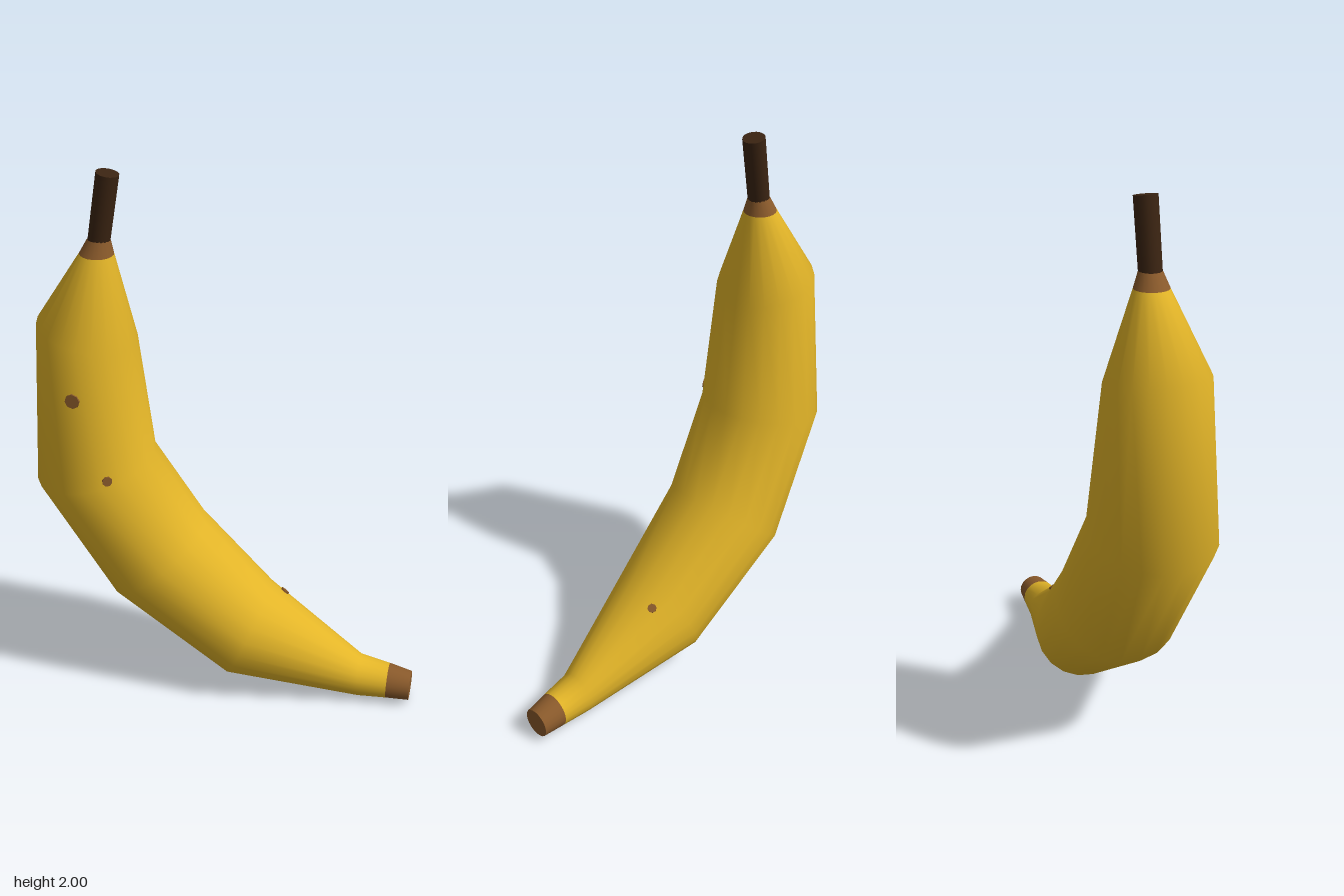
import * as THREE from 'three';

const SIDES = 20;
const V = (x, y, z = 0) => new THREE.Vector3(x, y, z);

// Cross-sections from stem to tip: centre x, y, z, radius, direction of the inner curve x, y
const SECTIONS = [
  [-0.437, 1.768, 0, 0.038, 1, 0],
  [-0.447, 1.715, 0, 0.058, 1, -0.03],
  [-0.495, 1.435, 0, 0.175, 0.34, -0.07],
  [-0.49, 0.905, -0.002, 0.222, 0.43, 0.11],
  [-0.267, 0.522, -0.012, 0.224, 0.345, 0.285],
  [0.078, 0.233, 0.025, 0.194, 0.145, 0.345],
  [0.507, 0.08, 0.063, 0.079, -0.005, 0.15],
  [0.615, 0.073, 0.072, 0.066, 0, 1],
  [0.70, 0.065, 0.08, 0.055, 0, 1],
];

// Frame of each section: c centre, u inner side, v front side, t along the fruit
const rings = SECTIONS.map(([x, y, z, r, ux, uy], i) => {
  const a = SECTIONS[Math.max(i - 1, 0)];
  const b = SECTIONS[Math.min(i + 1, SECTIONS.length - 1)];
  const u = V(ux, uy).normalize();
  const v = V(b[0] - a[0], b[1] - a[1], b[2] - a[2]).cross(u).normalize();
  return { c: V(x, y, z), r, u, v, t: u.clone().cross(v) };
});

const ringPoint = ({ c, r, u, v }, angle) => c.clone()
  .addScaledVector(u, r * Math.cos(angle))
  .addScaledVector(v, r * Math.sin(angle));

// Skin lofted through the sections, one material per stretch
function skinGeometry() {
  const pos = [], index = [];
  const geo = new THREE.BufferGeometry();
  for (const ring of rings) {
    for (let j = 0; j < SIDES; j++) pos.push(...ringPoint(ring, (j / SIDES) * Math.PI * 2).toArray());
  }
  for (let i = 0; i < rings.length - 1; i++) {
    const isEnd = i === 0 || i === rings.length - 2;
    geo.addGroup(index.length, SIDES * 6, isEnd ? 1 : 0);
    for (let j = 0; j < SIDES; j++) {
      const k = (j + 1) % SIDES;
      const a = i * SIDES + j, b = i * SIDES + k;
      index.push(a, b, a + SIDES, b, b + SIDES, a + SIDES);
    }
  }
  geo.setAttribute('position', new THREE.Float32BufferAttribute(pos, 3));
  geo.setIndex(index);
  geo.computeVertexNormals();
  return geo;
}

// Point and outward normal on the skin between section i and the next
function onSkin(i, f, angle) {
  const at = (g, a) => ringPoint(rings[i], a).lerp(ringPoint(rings[i + 1], a), g);
  const p = at(f, angle);
  const across = at(f, angle + 0.05).sub(at(f, angle - 0.05));
  const along = at(1, angle).sub(at(0, angle));
  return { p, n: across.cross(along).normalize() };
}

export function createModel() {
  const model = new THREE.Group();
  model.name = 'banana';
  const material = (name, color) => {
    const m = new THREE.MeshStandardMaterial({ color });
    m.name = name;
    return m;
  };
  const yellow = material('ripe yellow', 0xe3b528);
  const brown = material('bruise brown', 0x8a5a2b);
  const dark = material('stem brown', 0x3b2412);
  const add = (name, geo, mat) => {
    const mesh = new THREE.Mesh(geo, mat);
    mesh.name = name;
    model.add(mesh);
    return mesh;
  };

  // Curved fruit with brown collar and brown tip band
  add('peel', skinGeometry(), [yellow, brown]);

  // Flat blossom end
  const last = rings[rings.length - 1];
  const cap = add('tipCap', new THREE.CircleGeometry(last.r, SIDES), brown);
  cap.position.copy(last.c);
  cap.quaternion.setFromUnitVectors(V(0, 0, 1), last.t);

  // Leaning stem
  const from = V(-0.438, 1.755), to = V(-0.397, 1.993);
  const axis = to.clone().sub(from);
  const stem = add('stem', new THREE.CylinderGeometry(0.039, 0.038, axis.length(), 16), dark);
  stem.position.copy(from).lerp(to, 0.5);
  stem.quaternion.setFromUnitVectors(V(0, 1, 0), axis.normalize());

  // Ripeness spots: section, fraction, angle, radius
  [[2, 0.34, 1.66, 0.026], [2, 0.95, 1.15, 0.018], [5, 0.14, -0.47, 0.017]].forEach(([i, f, angle, r]) => {
    const { p, n } = onSkin(i, f, angle);
    const spot = add('spot', new THREE.CylinderGeometry(r, r, 0.008, 8), brown);
    spot.position.copy(p).addScaledVector(n, 0.001);
    spot.quaternion.setFromUnitVectors(V(0, 1, 0), n);
  });

  return model;
}
